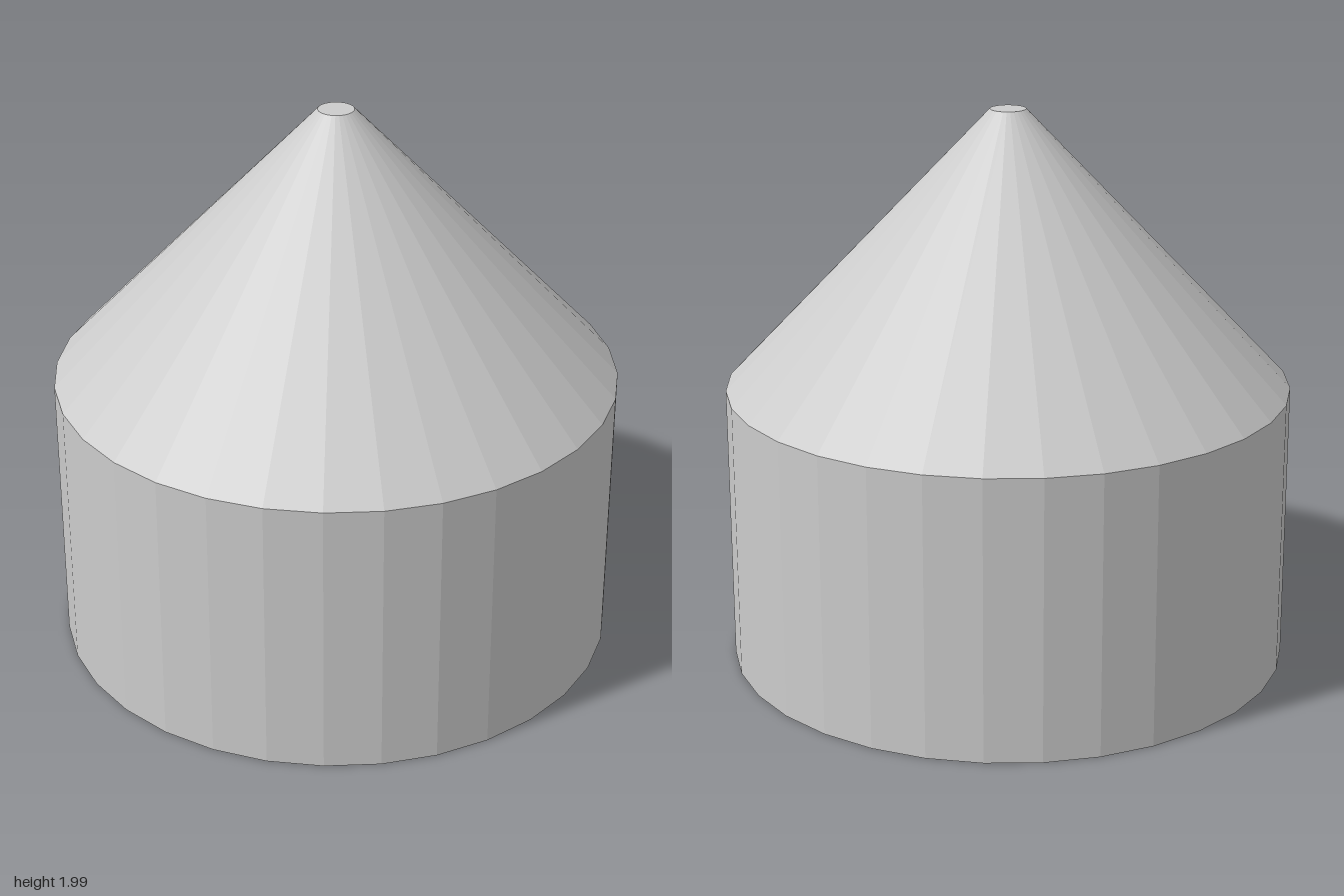
import * as THREE from 'three';

const SIDES = 32;
const BODY_HEIGHT = 1;
const CONE_HEIGHT = 0.985;

export function createModel() {
  const model = new THREE.Group();
  model.name = 'conicalRoofedDrum';
  const material = new THREE.MeshStandardMaterial({ color: 0xcccccc, flatShading: true });

  const add = (name, geometry, y) => {
    const mesh = new THREE.Mesh(geometry, material);
    mesh.name = name;
    mesh.position.y = y;
    model.add(mesh);
  };

  // Faceted drum wall, open on top where the roof sits
  add('drumWall', new THREE.CylinderGeometry(1, 1, BODY_HEIGHT, SIDES, 1, true), BODY_HEIGHT / 2);

  // Flat underside
  add('base', new THREE.CircleGeometry(1, SIDES).rotateX(Math.PI / 2), 0);

  // Steep roof with a truncated tip
  add('roof', new THREE.CylinderGeometry(0.063, 1, CONE_HEIGHT, SIDES, 1, true), BODY_HEIGHT + CONE_HEIGHT / 2);

  // Small flat cap closing the tip
  add('tipCap', new THREE.CircleGeometry(0.063, SIDES).rotateX(-Math.PI / 2), BODY_HEIGHT + CONE_HEIGHT);

  return model;
}
